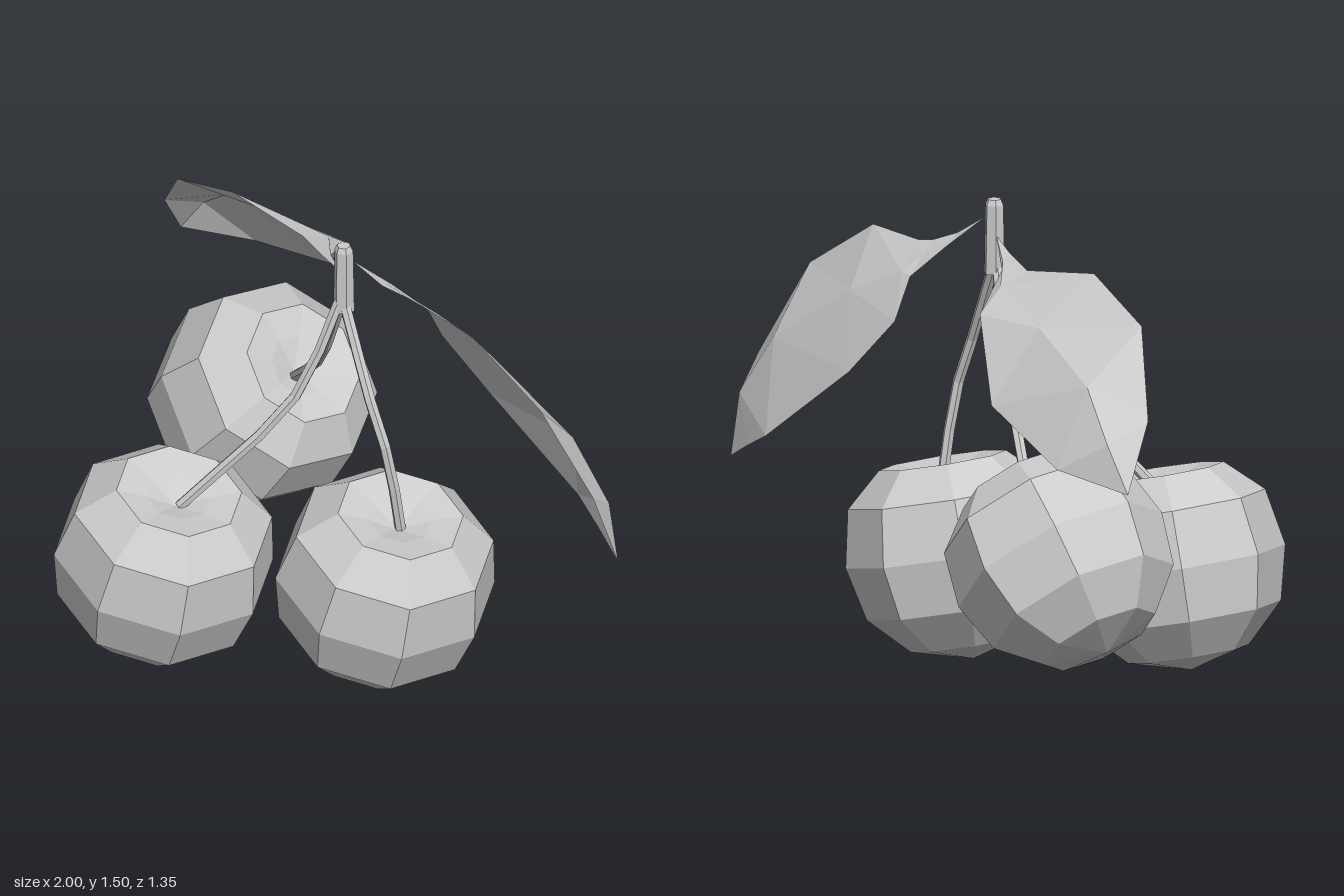
import * as THREE from 'three';

const deg = THREE.MathUtils.degToRad;
const vec = (p) => new THREE.Vector3(...p);

export function createModel() {
  const group = new THREE.Group();
  const solid = new THREE.MeshStandardMaterial({ color: 0xcccccc, flatShading: true });
  const thin = new THREE.MeshStandardMaterial({ color: 0xcccccc, flatShading: true, side: THREE.DoubleSide });

  const add = (name, geometry, material = solid) => {
    const mesh = new THREE.Mesh(geometry, material);
    mesh.name = name;
    group.add(mesh);
    return mesh;
  };

  // Cherries: eight-sided lathe with a dimple on top, leaning towards +x
  const profile = [
    [0, -0.33], [0.19, -0.28], [0.31, -0.16], [0.35, 0.01],
    [0.315, 0.19], [0.2, 0.295], [0.1, 0.27], [0, 0.23],
  ].map(([r, y]) => new THREE.Vector2(r, y));
  const cherryGeometry = new THREE.LatheGeometry(profile, 8, deg(10));
  const cherry = (name, position, lean) => {
    const mesh = add(name, cherryGeometry);
    mesh.position.set(...position);
    mesh.rotation.z = -deg(lean);
  };
  cherry('leftCherry', [0.3, 0.325, -0.08], 14);
  cherry('frontCherry', [-0.265, 0.335, 0.33], 14);
  cherry('backCherry', [-0.515, 0.51, -0.335], 42);

  // Stems: thin bent tubes from the shared twig down to each dimple
  const stem = (name, points) => {
    const curve = new THREE.CatmullRomCurve3(points.map(vec));
    add(name, new THREE.TubeGeometry(curve, 5, 0.018, 6, false), thin);
  };
  stem('leftStem', [[0.13, 1.3, -0.07], [0.3, 0.97, -0.035], [0.345, 0.83, -0.05], [0.36, 0.55, -0.09]]);
  stem('frontStem', [[0.12, 1.3, -0.06], [0.05, 0.97, 0.06], [-0.2, 0.56, 0.32]]);
  stem('backStem', [[0.12, 1.3, -0.07], [-0.1, 0.92, -0.19], [-0.36, 0.66, -0.33]]);

  // Twig joining the stems
  const twig = add('twig', new THREE.CylinderGeometry(0.03, 0.034, 0.22, 6));
  twig.position.set(0.125, 1.375, -0.075);
  const twigTip = add('twigTip', new THREE.CylinderGeometry(0.022, 0.03, 0.018, 6));
  twigTip.position.set(0.125, 1.494, -0.075);

  // Leaves: rows of near edge, midrib and far edge between two end points
  const leaf = (name, start, rows, tip) => {
    const sections = [[start, start, start], ...rows, [tip, tip, tip]];
    const positions = sections.flat(2);
    const index = [];
    for (let i = 0; i < sections.length - 1; i++) {
      for (let j = 0; j < 2; j++) {
        const a = i * 3 + j, b = a + 1, c = a + 3, d = a + 4;
        if (i > 0) index.push(a, b, c);
        if (i === 0) index.push(a, d, c);
        else if (i < sections.length - 2) index.push(b, d, c);
      }
    }
    const geometry = new THREE.BufferGeometry();
    geometry.setAttribute('position', new THREE.Float32BufferAttribute(positions, 3));
    geometry.setIndex(index);
    geometry.computeVertexNormals();
    add(name, geometry, thin);
  };
  leaf('rightLeaf', [0.11, 1.39, -0.08], [
    [[-0.02, 1.365, -0.13], [-0.03, 1.35, -0.17], [-0.05, 1.33, -0.19]],
    [[-0.16, 1.35, -0.18], [-0.15, 1.31, -0.28], [-0.16, 1.24, -0.37]],
    [[-0.45, 1.395, -0.15], [-0.4, 1.24, -0.33], [-0.36, 1.01, -0.49]],
    [[-0.73, 1.29, -0.19], [-0.73, 1.13, -0.41], [-0.74, 0.89, -0.54]],
    [[-0.93, 1.05, -0.33], [-0.9, 0.99, -0.47], [-0.87, 0.87, -0.505]],
  ], [-1, 0.85, -0.47]);
  leaf('leftLeaf', [0.14, 1.45, -0.09], [
    [[0.24, 1.38, -0.13], [0.22, 1.37, -0.16], [0.22, 1.35, -0.19]],
    [[0.31, 1.35, -0.17], [0.3, 1.31, -0.22], [0.3, 1.25, -0.27]],
    [[0.37, 1.34, -0.18], [0.34, 1.26, -0.27], [0.29, 1.12, -0.34]],
    [[0.6, 1.34, -0.17], [0.53, 1.17, -0.32], [0.43, 0.94, -0.41]],
    [[0.86, 1.17, -0.21], [0.82, 0.97, -0.39], [0.75, 0.68, -0.48]],
    [[1, 0.87, -0.3], [0.95, 0.77, -0.42], [0.87, 0.62, -0.455]],
  ], [0.98, 0.56, -0.43]);

  return group;
}
